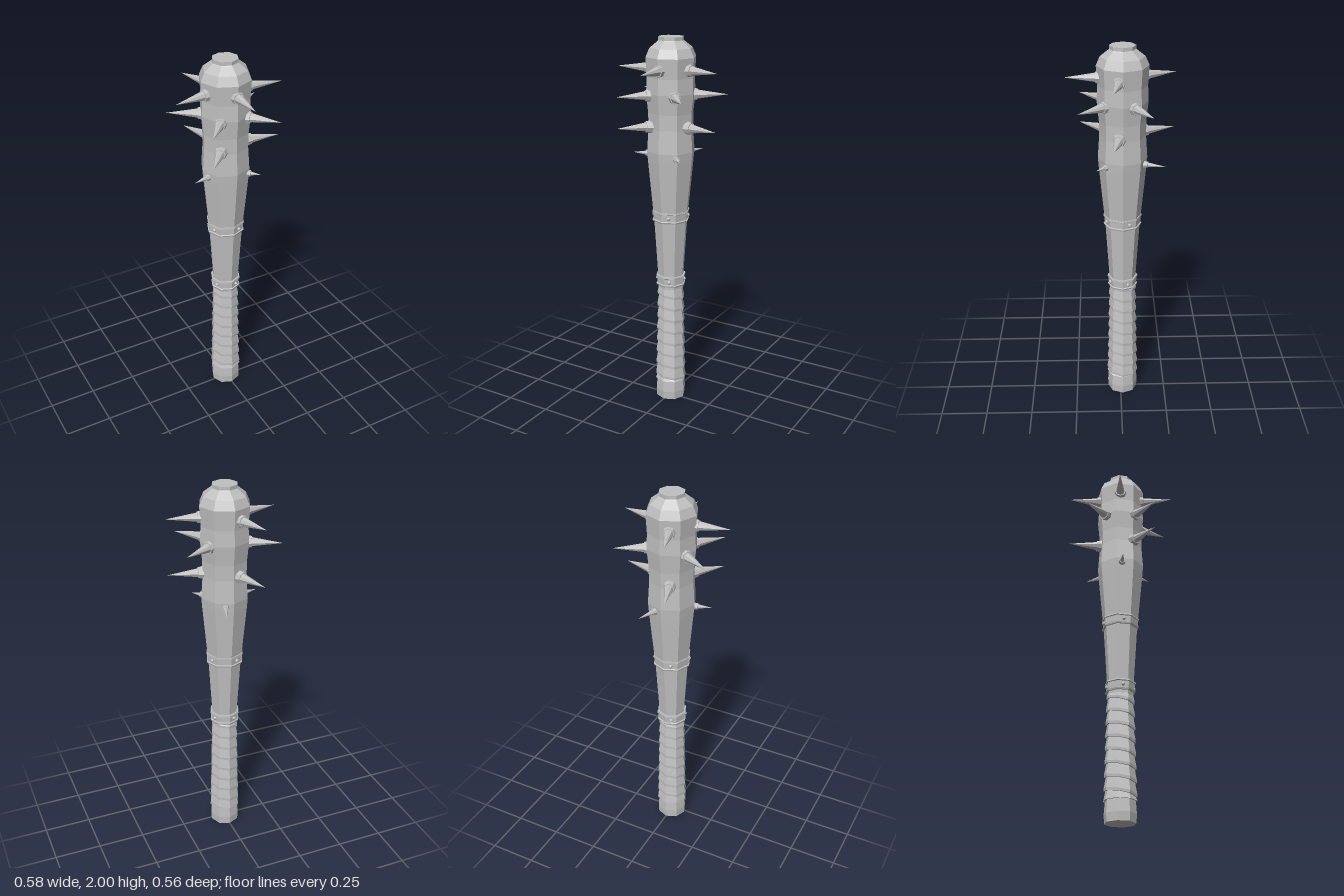
import * as THREE from 'three';

const SIDES = 8;

export function createModel() {
  const group = new THREE.Group();
  group.name = 'spikedClub';
  const grey = new THREE.MeshStandardMaterial({ color: 0xc0c0c0 });
  grey.name = 'plain grey';

  // The club's axis sits slightly behind the centre
  const club = new THREE.Group();
  club.name = 'club';
  club.position.z = -0.011;
  group.add(club);

  // Faceted mesh helper
  function add(name, geometry, parent = club) {
    const flat = geometry.index ? geometry.toNonIndexed() : geometry;
    flat.computeVertexNormals();
    const mesh = new THREE.Mesh(flat, grey);
    mesh.name = name;
    parent.add(mesh);
    return mesh;
  }
  const lathe = (profile) =>
    new THREE.LatheGeometry(profile.map(([r, y]) => new THREE.Vector2(r, y)), SIDES);

  // Shaft and head, up to the stub on top
  add('head', lathe([
    [0, 0.66], [0.07, 0.66], [0.071, 0.73], [0.092, 1.06], [0.097, 1.1], [0.123, 1.37], [0.127, 1.42],
    [0.119, 1.54], [0.12, 1.62], [0.13, 1.72], [0.126, 1.8], [0.132, 1.9],
    [0.112, 1.945], [0.07, 1.978], [0.066, 1.982], [0.066, 2], [0, 2],
  ]));

  // Pommel and grip core
  add('pommel', lathe([[0, 0], [0.08, 0], [0.083, 0.045], [0.077, 0.12], [0, 0.12]]));
  add('gripCore', lathe([[0, 0.1], [0.076, 0.1], [0.068, 0.35], [0.064, 0.68], [0, 0.68]]));

  // Grip wrap: a sawtooth strip wound down the handle
  const top = 0.75, bottom = 0.11, pitch = 0.069;
  const gripRadius = (y) => 0.067 + 0.012 * Math.pow((0.68 - y) / 0.56, 1.1);
  const positions = [];
  const section = (i) => {
    const angle = (i / SIDES) * Math.PI * 2;
    const y = top - (pitch * i) / SIDES;
    return [[-0.002, 0], [0.007, 0.8], [0.006, 1], [-0.002, 1]].map(([dr, f]) => {
      const py = THREE.MathUtils.clamp(y - pitch * f, bottom, 0.68);
      const r = gripRadius(py) + dr;
      return [r * Math.sin(angle), py, r * Math.cos(angle)];
    });
  };
  const steps = Math.ceil(((top - bottom) / pitch) * SIDES);
  for (let i = 0; i < steps; i++) {
    const a = section(i), b = section(i + 1);
    for (let k = 0; k < 3; k++) {
      positions.push(...a[k], ...a[k + 1], ...b[k + 1], ...a[k], ...b[k + 1], ...b[k]);
    }
  }
  const wrap = new THREE.BufferGeometry();
  wrap.setAttribute('position', new THREE.Float32BufferAttribute(positions, 3));
  add('gripWrap', wrap);

  // Riveted collars with raised rims
  for (const [name, y, r] of [['upperCollar', 1.07, 0.098], ['lowerCollar', 0.705, 0.078]]) {
    const collar = new THREE.Group();
    collar.name = name;
    collar.position.y = y;
    club.add(collar);
    add('collarBand', lathe([
      [r - 0.015, -0.029], [r, -0.029], [r + 0.003, -0.021], [r - 0.003, -0.018],
      [r - 0.001, 0.018], [r + 0.004, 0.021], [r + 0.003, 0.029], [r - 0.015, 0.029],
    ]), collar);
    for (let i = 0; i < 4; i++) {
      const angle = Math.PI / 8 + (i * Math.PI) / 2;
      const rivet = add('rivet', new THREE.SphereGeometry(0.01, 8, 6), collar);
      rivet.position.set(Math.sin(angle), 0, Math.cos(angle)).multiplyScalar(r * 0.925);
    }
  }

  // Spikes: height, tip x, tip z (from the model centre), size
  const spikes = [
    [1.84, 0, 0.28, 1], [1.84, 0.29, 0.04, 1], [1.84, -0.29, 0.04, 1], [1.84, -0.1, -0.285, 1],
    [1.71, 0.187, 0.212, 1], [1.71, -0.187, 0.212, 1], [1.71, 0.252, -0.155, 1], [1.71, -0.252, -0.155, 1],
    [1.55, -0.187, 0.212, 1], [1.55, 0.285, 0.04, 1], [1.55, -0.1, -0.282, 1],
    [1.395, 0.077, -0.226, 0.55], [1.395, -0.2, 0.04, 0.55], [1.395, 0.13, 0.125, 0.55],
  ];
  for (const [y, x, z, size] of spikes) {
    const tipZ = z - club.position.z;
    const reach = Math.hypot(x, tipZ);
    const spike = new THREE.Group();
    spike.name = 'spike';
    spike.position.y = y;
    spike.rotation.y = Math.atan2(x, tipZ);
    club.add(spike);
    // Flange, then the cone, both along local z
    const flange = new THREE.CylinderGeometry(0.029 * size, 0.037 * size, 0.04, SIDES);
    add('spikeFlange', flange.rotateX(Math.PI / 2).translate(0, 0, 0.116), spike);
    const start = 0.115;
    const cone = new THREE.ConeGeometry(0.027 * size, reach - start, SIDES);
    add('spikeCone', cone.rotateX(Math.PI / 2).translate(0, 0, (reach + start) / 2), spike);
  }

  return group;
}
